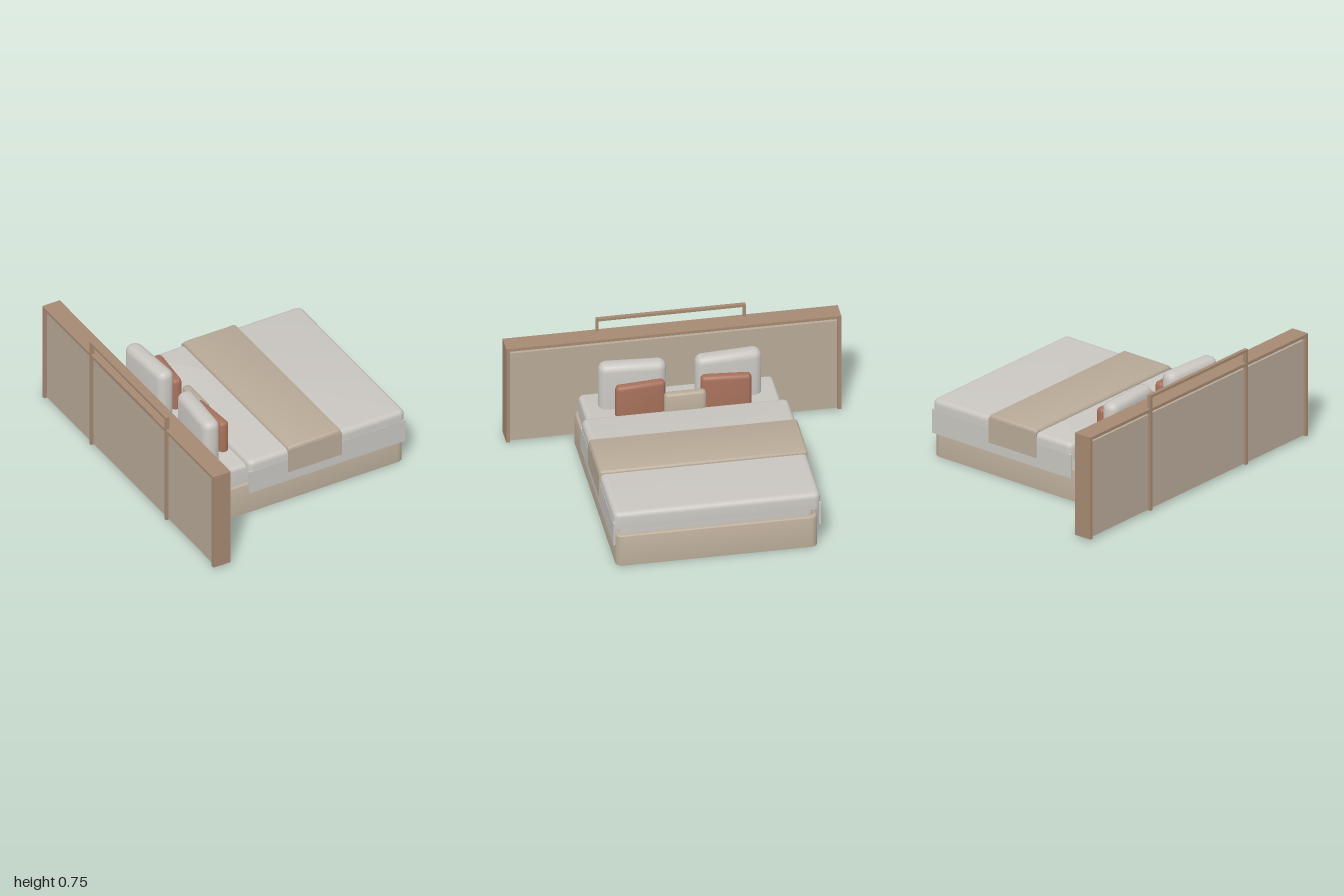
import * as THREE from 'three';
import { toCreasedNormals } from 'three/addons/utils/BufferGeometryUtils.js';

const material = (name, color) => {
  const m = new THREE.MeshStandardMaterial({ color });
  m.name = name;
  return m;
};

// Upright slab with rounded plan corners (r) and a rounded top edge (b), base at y = 0
function softSlab(w, h, d, r, b) {
  const positions = [], index = [], arc = 6, steps = 4, n = 4 * (arc + 1);
  const ring = (y, inset) => {
    const rad = Math.max(r - inset, 0.002);
    const cx = w / 2 - inset - rad, cz = d / 2 - inset - rad;
    for (let q = 0; q < 4; q++) {
      const sx = q === 0 || q === 3 ? 1 : -1, sz = q < 2 ? 1 : -1;
      for (let i = 0; i <= arc; i++) {
        const a = (q + i / arc) * Math.PI / 2;
        positions.push(sx * cx + rad * Math.cos(a), y, sz * cz + rad * Math.sin(a));
      }
    }
  };
  ring(0, 0);
  for (let s = 0; s <= steps; s++) {
    const t = s / steps * Math.PI / 2;
    ring(h - b + b * Math.sin(t), b * (1 - Math.cos(t)));
  }
  for (let k = 0; k <= steps; k++) {
    for (let i = 0; i < n; i++) {
      const j = (i + 1) % n, p = k * n, q = p + n;
      index.push(p + i, q + i, p + j, p + j, q + i, q + j);
    }
  }
  const last = (steps + 1) * n;
  for (let i = 1; i < n - 1; i++) {
    index.push(0, i, i + 1, last, last + i + 1, last + i);
  }
  const g = new THREE.BufferGeometry();
  g.setAttribute('position', new THREE.Float32BufferAttribute(positions, 3));
  g.setIndex(index);
  return toCreasedNormals(g, 0.6);
}

export function createModel() {
  const model = new THREE.Group();
  model.name = 'bed';
  const linen = material('pale linen', 0xc9c6c1);
  const tan = material('tan fabric', 0xb8aa98);
  const wood = material('brown wood', 0xa58a72);
  const rust = material('terracotta fabric', 0xa6705b);

  const add = (name, geometry, mat) => {
    const m = new THREE.Mesh(geometry, mat);
    m.name = name;
    model.add(m);
    return m;
  };
  // Both helpers take the extents along each axis
  const box = (name, mat, x0, x1, y0, y1, z0, z1) =>
    add(name, new THREE.BoxGeometry(x1 - x0, y1 - y0, z1 - z0), mat)
      .position.set((x0 + x1) / 2, (y0 + y1) / 2, (z0 + z1) / 2);
  const slab = (name, mat, x0, x1, y0, y1, halfZ, r, b) =>
    add(name, softSlab(x1 - x0, y1 - y0, halfZ * 2, r, b), mat)
      .position.set((x0 + x1) / 2, y0, 0);

  // Bed body and bedding
  slab('base', tan, -0.635, 0.757, 0, 0.208, 0.602, 0.04, 0.015);
  slab('mattress', linen, -0.613, 0.735, 0.2, 0.332, 0.582, 0.035, 0.025);
  slab('duvet', linen, -0.303, 0.762, 0.262, 0.366, 0.618, 0.04, 0.03);
  slab('throw', tan, -0.04, 0.322, 0.345, 0.387, 0.622, 0.018, 0.018);
  for (const s of [-1, 1]) {
    const zs = (a, b) => s > 0 ? [a, b] : [-b, -a];
    box('duvetDrape', linen, -0.303, 0.758, 0.15, 0.3, ...zs(0.608, 0.62));
    box('throwDrape', tan, -0.04, 0.322, 0.21, 0.368, ...zs(0.612, 0.625));
  }

  // Cushions, standing on the mattress in mirrored pairs
  const cushion = (name, mat, x, z, thick, top, long, r, turn) => {
    const m = add(name, softSlab(thick, top - 0.325, long, r, r * 0.85), mat);
    m.position.set(x, 0.325, z);
    m.rotation.y = turn;
  };
  for (const s of [-1, 1]) {
    cushion('pillow', linen, -0.456, s * 0.286, 0.108, 0.625, 0.4, 0.05, -s * 0.07);
    cushion('accentCushion', rust, -0.352, s * 0.256, 0.062, 0.537, 0.3, 0.028, s * 0.085);
  }
  cushion('smallCushion', tan, -0.304, -0.003, 0.058, 0.478, 0.25, 0.026, 0);

  // Headboard: padded panel in a wooden frame, open slot below the top board
  box('headboardPanel', tan, -0.75, -0.665, 0.018, 0.625, -0.978, 0.978);
  box('headboardTop', wood, -0.768, -0.65, 0.648, 0.667, -1, 1);
  for (const s of [-1, 1]) {
    box('headboardSide', wood, -0.768, -0.65, 0.015, 0.65, s * 0.989 - 0.011, s * 0.989 + 0.011);
    box('railPost', wood, -0.768, -0.745, 0.015, 0.736, s * 0.439 - 0.008, s * 0.439 + 0.008);
  }
  box('rail', wood, -0.768, -0.745, 0.735, 0.752, -0.447, 0.447);

  return model;
}
